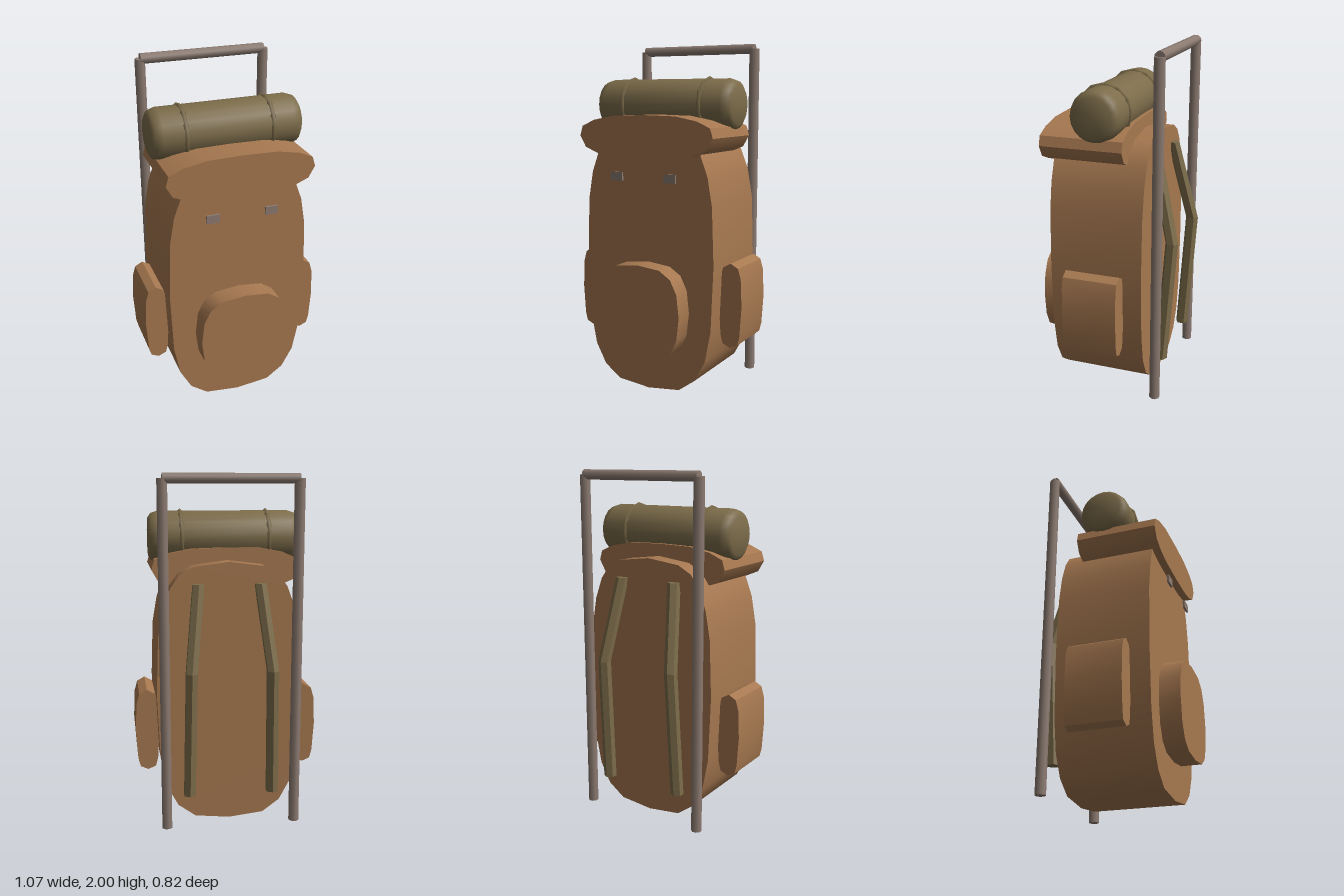
import * as THREE from 'three';
import { toCreasedNormals } from 'three/addons/utils/BufferGeometryUtils.js';

const canvas = new THREE.MeshStandardMaterial({ name: 'brown canvas', color: 0xa67850 });
const olive = new THREE.MeshStandardMaterial({ name: 'olive cloth', color: 0x7c6c4a });
const metal = new THREE.MeshStandardMaterial({ name: 'grey metal', color: 0x8c7b71 });

function add(parent, name, geometry, material, x = 0, y = 0, z = 0) {
  const mesh = new THREE.Mesh(geometry, material);
  mesh.name = name;
  mesh.position.set(x, y, z);
  parent.add(mesh);
  return mesh;
}

// Extrudes a right-half outline (bottom centre to top centre), mirrored across x = 0
function pouch(half, back, front) {
  const left = half.slice(1, -1).reverse().map(([x, y]) => [-x, y]);
  const shape = new THREE.Shape([...half, ...left].map(([x, y]) => new THREE.Vector2(x, y)));
  const geometry = new THREE.ExtrudeGeometry(shape, { depth: front - back, bevelEnabled: false });
  geometry.translate(0, 0, back);
  return toCreasedNormals(geometry, 0.75);
}

// Six-sided strap bent at its middle by shifting each ring of a cylinder
function strapGeometry(side) {
  const rings = [[1.4, 0.175, -0.255], [0.92, 0.228, -0.37], [0.19, 0.24, -0.322]];
  const geometry = new THREE.CylinderGeometry(0.037, 0.037, 2, 6, 2).toNonIndexed();
  const p = geometry.attributes.position;
  for (let i = 0; i < p.count; i++) {
    const [y, x, z] = rings[Math.round(1 - p.getY(i))];
    p.setXYZ(i, p.getX(i) + side * x, y, p.getZ(i) + z);
  }
  geometry.computeVertexNormals();
  return geometry;
}

export function createModel() {
  const pack = new THREE.Group();
  pack.name = 'backpack';

  // Main bag, lid and front pocket
  add(pack, 'body', pouch([
    [0, 0.005], [0.2, 0.027], [0.3, 0.1], [0.365, 0.22], [0.4, 0.4], [0.415, 0.77],
    [0.403, 1.1], [0.375, 1.26], [0.33, 1.38], [0.28, 1.45], [0.2, 1.495], [0, 1.52],
  ], -0.25, 0.29), canvas);
  add(pack, 'lid', pouch([
    [0, 1.35], [0.2, 1.355], [0.305, 1.37], [0.39, 1.405], [0.427, 1.47],
    [0.41, 1.525], [0.33, 1.56], [0.2, 1.585], [0, 1.59],
  ], -0.14, 0.335), canvas);
  add(pack, 'frontPocket', pouch([
    [0, 0.215], [0.14, 0.23], [0.21, 0.275], [0.25, 0.36], [0.265, 0.49],
    [0.25, 0.62], [0.21, 0.7], [0.14, 0.745], [0, 0.76],
  ], 0.28, 0.41), canvas);

  // Bedroll with rounded ends, lying across the lid
  const profile = [[0, -0.435], [0.11, -0.435], [0.134, -0.42], [0.147, -0.38],
    [0.147, 0.38], [0.134, 0.42], [0.11, 0.435], [0, 0.435]];
  const rollGeometry = toCreasedNormals(
    new THREE.LatheGeometry(profile.map(([r, y]) => new THREE.Vector2(r, y)), 20), 0.75);
  add(pack, 'bedroll', rollGeometry, olive, 0, 1.645, 0.018).rotation.z = Math.PI / 2;

  // Carrying frame
  const poleGeometry = new THREE.CylinderGeometry(0.03, 0.03, 1.972, 8).rotateY(Math.PI / 8);
  const barGeometry = new THREE.CylinderGeometry(0.03, 0.03, 0.746, 8).rotateY(Math.PI / 8);
  add(pack, 'frameCrossbar', barGeometry, metal, 0, 1.972, -0.325).rotation.z = Math.PI / 2;

  // Paired parts
  const sidePocket = pouch([
    [0, 0.29], [0.045, 0.31], [0.058, 0.36], [0.069, 0.53],
    [0.062, 0.69], [0.045, 0.75], [0, 0.775],
  ], -0.14, 0.178);
  const bandGeometry = new THREE.TorusGeometry(0.145, 0.016, 4, 12);
  const buckleGeometry = new THREE.BoxGeometry(0.074, 0.048, 0.012);
  for (const [label, side] of [['left', 1], ['right', -1]]) {
    add(pack, label + 'SidePocket', sidePocket, canvas, side * 0.466);
    add(pack, label + 'FramePole', poleGeometry, metal, side * 0.373, 0.986, -0.325);
    add(pack, label + 'Buckle', buckleGeometry, metal, side * 0.171, 1.246, 0.342);
    add(pack, label + 'ShoulderStrap', strapGeometry(side), olive);
    add(pack, label + 'BedrollBand', bandGeometry, olive, side * 0.25, 1.645, 0.018).rotation.y = Math.PI / 2;
  }
  return pack;
}
